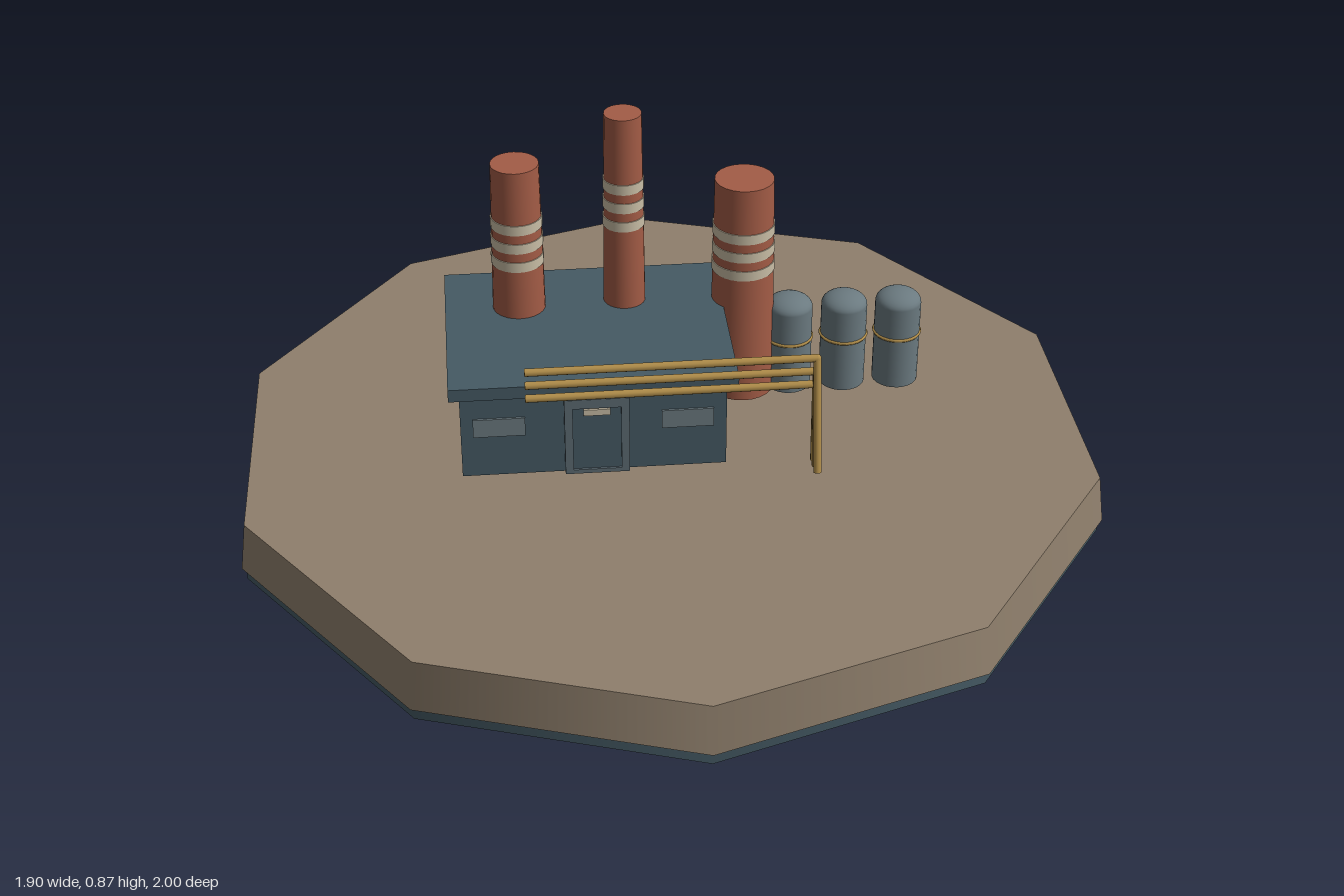
import * as THREE from 'three';

const mat = (name, color) => {
  const m = new THREE.MeshStandardMaterial({ color });
  m.name = name;
  return m;
};

export function createModel() {
  const model = new THREE.Group();
  model.name = 'factoryOnIsland';
  const soil = mat('soil', 0x8f7f6c);
  const steel = mat('darkSteel', 0x455a64);
  const brick = mat('brick', 0xa35c46);
  const cream = mat('cream', 0xc9bea6);
  const grey = mat('tankGrey', 0x6b7a80);
  const trim = mat('trimGrey', 0x5c6b73);
  const brass = mat('brass', 0xb08d4a);

  const add = (name, geometry, material, x, y, z, parent = model) => {
    const mesh = new THREE.Mesh(geometry, material);
    mesh.name = name;
    mesh.position.set(x, y, z);
    parent.add(mesh);
    return mesh;
  };
  // box given by its limits on each axis
  const box = (name, material, x0, x1, y0, y1, z0, z1, parent) =>
    add(name, new THREE.BoxGeometry(x1 - x0, y1 - y0, z1 - z0), material,
      (x0 + x1) / 2, (y0 + y1) / 2, (z0 + z1) / 2, parent);
  const group = (name) => {
    const g = new THREE.Group();
    g.name = name;
    model.add(g);
    return g;
  };

  // ten-sided ground
  add('ground', new THREE.CylinderGeometry(0.985, 1, 0.112, 10), soil, 0, 0.086, 0);
  add('groundSlab', new THREE.CylinderGeometry(0.99, 0.99, 0.03, 10), steel, 0, 0.015, 0);

  // main hall, floating slightly above the ground
  const hall = group('hall');
  box('walls', steel, -0.465, 0.118, 0.157, 0.37, -0.266, 0.187, hall);
  box('roof', steel, -0.488, 0.141, 0.367, 0.397, -0.287, 0.21, hall);

  // door with frame and lamp
  const z = 0.187;
  box('doorFrameLeft', trim, -0.115, -0.097, 0.16, 0.352, z - 0.01, 0.205, hall);
  box('doorFrameRight', trim, -0.239, -0.221, 0.16, 0.352, z - 0.01, 0.205, hall);
  box('doorFrameTop', trim, -0.221, -0.115, 0.329, 0.352, z - 0.01, 0.205, hall);
  box('doorFrameBottom', trim, -0.221, -0.115, 0.16, 0.17, z - 0.01, 0.205, hall);
  box('door', steel, -0.221, -0.115, 0.17, 0.329, z - 0.01, 0.2, hall);
  box('doorLamp', cream, -0.197, -0.139, 0.311, 0.326, 0.198, 0.206, hall);

  // windows
  for (const x of [-0.381, 0.032])
    box('window', grey, x - 0.057, x + 0.057, 0.26, 0.305, z - 0.002, z + 0.005, hall);

  // tapered chimneys with three painted bands
  const chimneys = [
    { x: -0.32, z: -0.133, y0: 0.385, y1: 0.76, rTop: 0.054, rBottom: 0.06, band: 0.62 },
    { x: -0.08, z: -0.144, y0: 0.385, y1: 0.866, rTop: 0.042, rBottom: 0.048, band: 0.697 },
    { x: 0.19, z: -0.133, y0: 0.157, y1: 0.698, rTop: 0.067, rBottom: 0.075, band: 0.577 },
  ];
  for (const c of chimneys) {
    const g = group('chimney');
    const h = c.y1 - c.y0;
    const radius = (y) => THREE.MathUtils.lerp(c.rBottom, c.rTop, (y - c.y0) / h);
    add('shaft', new THREE.CylinderGeometry(c.rTop, c.rBottom, h, 24), brick,
      c.x, (c.y0 + c.y1) / 2, c.z, g);
    for (let i = 0; i < 3; i++) {
      const y = c.band - i * 0.046;
      add('band', new THREE.CylinderGeometry(radius(y) + 0.002, radius(y) + 0.002, 0.024, 24),
        cream, c.x, y, c.z, g);
    }
  }

  // storage tanks with domed tops and brass hoops
  const profile = [new THREE.Vector2(0, 0), new THREE.Vector2(0.053, 0)];
  const side = new THREE.CylinderGeometry(0.053, 0.053, 0.205, 24, 1, true);
  const dome = new THREE.SphereGeometry(0.053, 24, 8, 0, Math.PI * 2, 0, Math.PI / 2);
  dome.scale(1, 0.55, 1);
  for (const x of [0.3, 0.427, 0.553]) {
    const g = group('tank');
    add('side', side, grey, x, 0.2595, -0.132, g);
    add('dome', dome, grey, x, 0.362, -0.132, g);
    const bottom = add('bottom', new THREE.CircleGeometry(profile[1].x, 24), grey, x, 0.157, -0.132, g);
    bottom.rotation.x = Math.PI / 2;
    const hoop = add('hoop', new THREE.TorusGeometry(0.053, 0.004, 6, 24), brass, x, 0.284, -0.132, g);
    hoop.rotation.x = Math.PI / 2;
  }

  // three pipes along the front, fanning out down to the ground
  const up = new THREE.Vector3(0, 1, 0);
  const pipeRadius = 0.009;
  const pipe = (a, b, parent) => {
    const d = b.clone().sub(a);
    const m = add('pipeRun', new THREE.CylinderGeometry(pipeRadius, pipeRadius, d.length(), 10),
      brass, 0, 0, 0, parent);
    m.position.copy(a).add(b).multiplyScalar(0.5);
    m.quaternion.setFromUnitVectors(up, d.normalize());
  };
  [[0.444, 0.286], [0.411, 0.262], [0.378, 0.238]].forEach(([y, zEnd]) => {
    const g = group('pipe');
    const corner = new THREE.Vector3(0.307, y, 0.228);
    pipe(new THREE.Vector3(-0.323, y, 0.228), corner, g);
    pipe(corner, new THREE.Vector3(0.307, 0.186, zEnd), g);
    add('elbow', new THREE.SphereGeometry(pipeRadius, 10, 8), brass, corner.x, y, corner.z, g);
  });

  return model;
}
